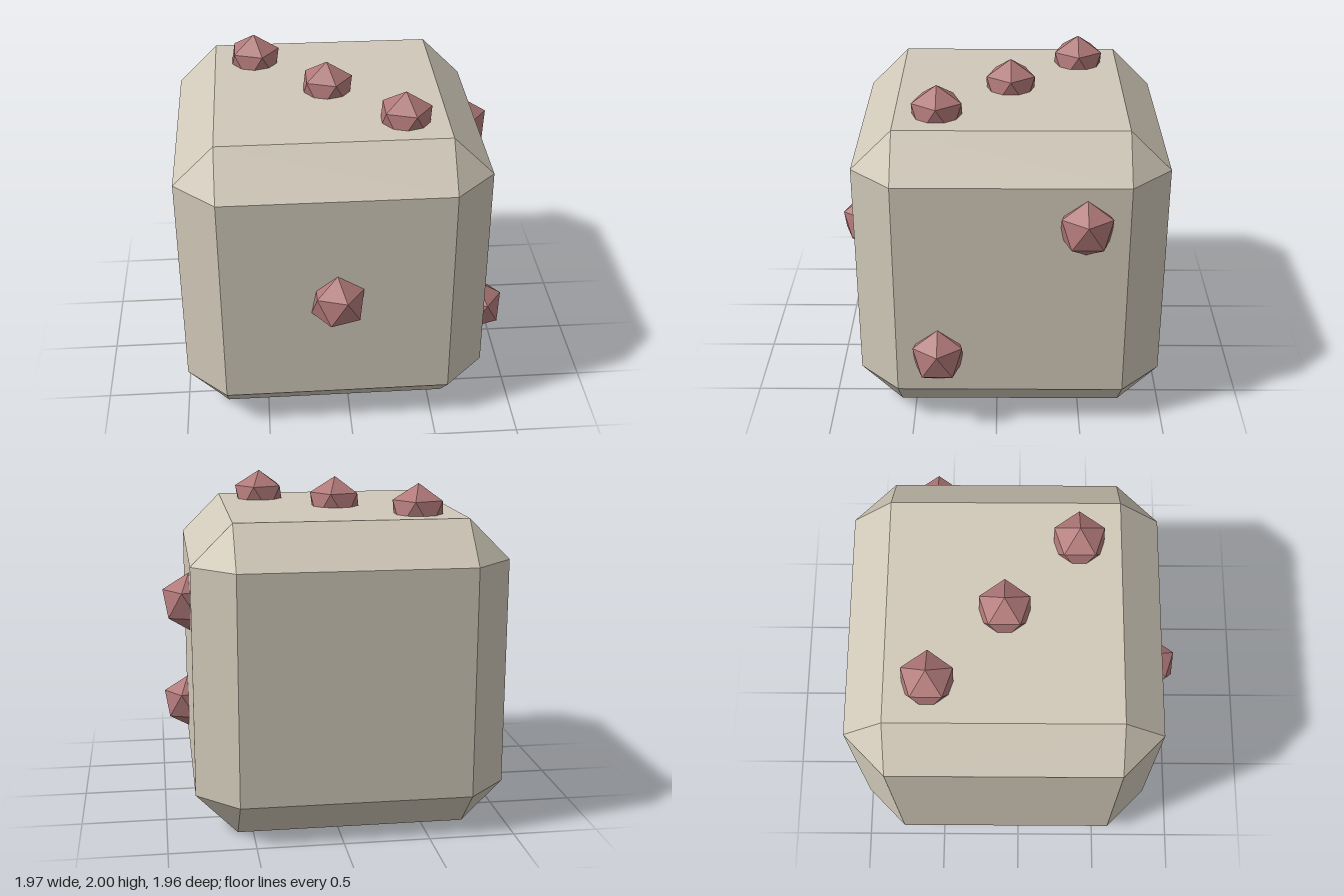
import * as THREE from 'three';
import { ConvexGeometry } from 'three/addons/geometries/ConvexGeometry.js';

export function createModel() {
  const model = new THREE.Group();
  model.name = 'die';

  const stone = new THREE.MeshStandardMaterial({ color: 0xd0c8b8, flatShading: true });
  stone.name = 'warm stone';
  const rose = new THREE.MeshStandardMaterial({ color: 0xb07878, flatShading: true });
  rose.name = 'dusty rose';

  const half = 0.91, inner = 0.67, step = 0.425;

  // Chamfered cube: each face is a square inset from its neighbours
  const corners = [];
  for (const x of [-1, 1]) for (const y of [-1, 1]) for (const z of [-1, 1]) {
    for (let axis = 0; axis < 3; axis++) {
      const size = [inner, inner, inner];
      size[axis] = half;
      corners.push(new THREE.Vector3(x * size[0], y * size[1], z * size[2]));
    }
  }
  const body = new THREE.Mesh(new ConvexGeometry(corners), stone);
  body.name = 'body';
  model.add(body);

  // Pips: icosahedra standing on a vertex, half sunk into the faces
  const pipGeometry = new THREE.IcosahedronGeometry(0.17, 0)
    .rotateX(-Math.atan((1 + Math.sqrt(5)) / 2))
    .rotateY(Math.PI / 2);
  const addPip = (name, x, y, z) => {
    const pip = new THREE.Mesh(pipGeometry, rose);
    pip.name = name;
    pip.position.set(x, y, z);
    model.add(pip);
  };
  addPip('frontPip', 0, 0, half);
  for (const s of [-1, 0, 1]) addPip('topPip', s * step, half + 0.005, s * step);
  for (const s of [-1, 1]) addPip('sidePip', half, -s * step, s * step);

  // Stand on the ground, centred including the protruding pips
  for (const part of model.children) part.position.add(new THREE.Vector3(-0.08, 0.915, -0.08));
  return model;
}
